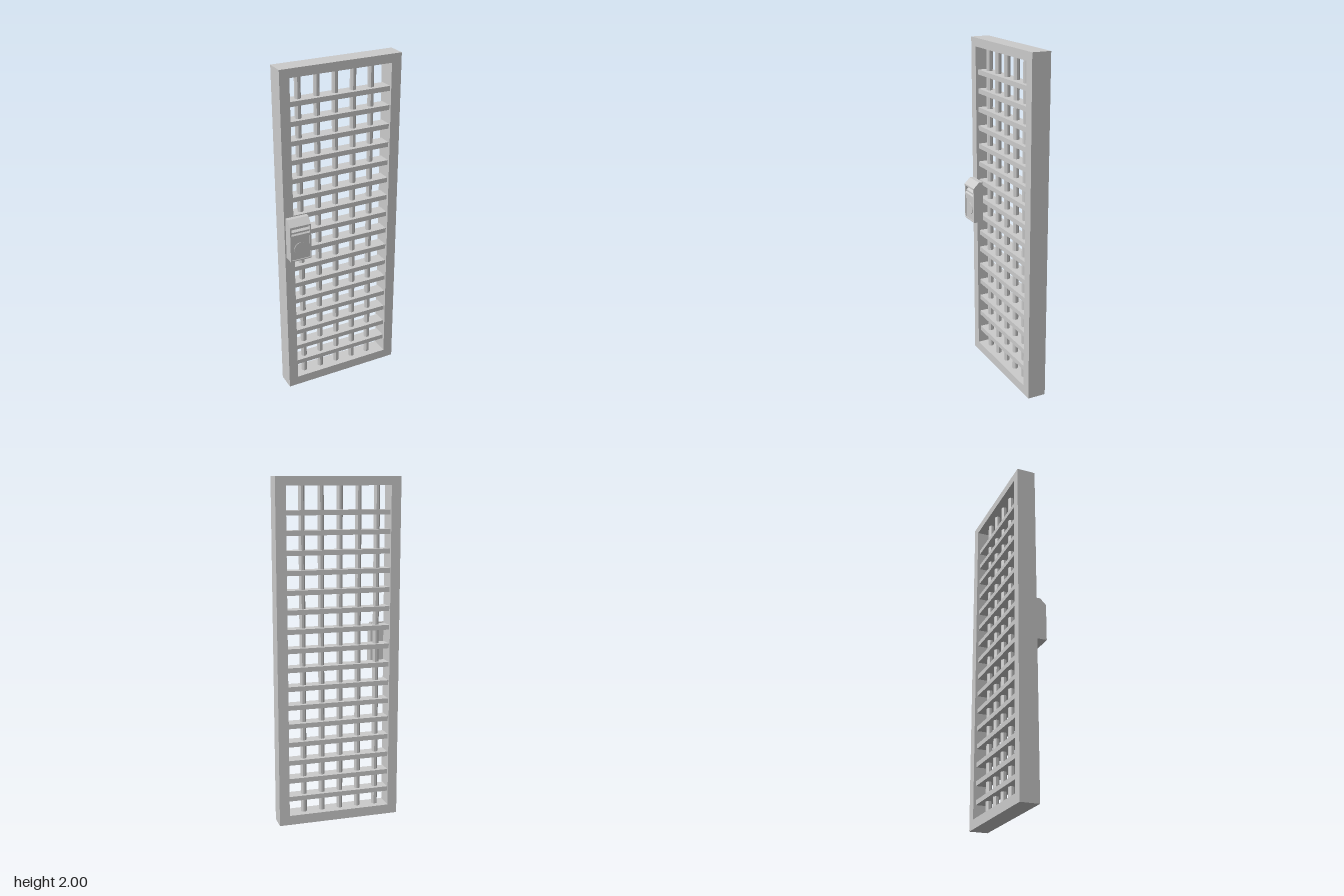
import * as THREE from 'three';

const material = new THREE.MeshStandardMaterial({ color: 0xcccccc, flatShading: true });

function add(parent, name, geometry, x = 0, y = 0, z = 0) {
  const mesh = new THREE.Mesh(geometry, material);
  mesh.name = name;
  mesh.position.set(x, y, z);
  parent.add(mesh);
  return mesh;
}

// Extrudes a (z, y) outline along x, from xMin to xMax
function sideProfile(points, xMin, xMax) {
  const shape = new THREE.Shape(points.map(([z, y]) => new THREE.Vector2(z, y)));
  const geometry = new THREE.ExtrudeGeometry(shape, { depth: xMax - xMin, bevelEnabled: false });
  return geometry.rotateY(-Math.PI / 2).translate(xMax, 0, 0);
}

function rectangle(path, x0, y0, x1, y1) {
  path.moveTo(x0, y0);
  path.lineTo(x1, y0);
  path.lineTo(x1, y1);
  path.lineTo(x0, y1);
  path.closePath();
  return path;
}

export function createModel() {
  const model = new THREE.Group();
  model.name = 'barredDoor';

  // Outer frame with one large opening
  const outline = rectangle(new THREE.Shape(), -0.362, 0, 0.362, 2);
  outline.holes.push(rectangle(new THREE.Path(), -0.305, 0.056, 0.302, 1.95));
  add(model, 'frame', new THREE.ExtrudeGeometry(outline, { depth: 0.11, bevelEnabled: false }), 0, 0, -0.085);

  // Flat cross bars
  const crossBars = new THREE.Group();
  crossBars.name = 'crossBars';
  model.add(crossBars);
  const crossBar = new THREE.BoxGeometry(0.612, 0.028, 0.08);
  for (let i = 0; i < 16; i++) add(crossBars, 'crossBar', crossBar, -0.0015, 0.153 + i * 0.11, -0.03);

  // Octagonal upright bars
  const uprightBars = new THREE.Group();
  uprightBars.name = 'uprightBars';
  model.add(uprightBars);
  const uprightBar = new THREE.CylinderGeometry(0.0175, 0.0175, 1.9, 8, 1, true).rotateY(Math.PI / 8);
  for (let i = 0; i < 5; i++) add(uprightBars, 'uprightBar', uprightBar, -0.237 + i * 0.11, 1.003, -0.03);

  // Lock box: notched core between two solid cheeks
  const lock = new THREE.Group();
  lock.name = 'lock';
  model.add(lock);
  const cheek = [[0.025, 0.91], [0.085, 0.91], [0.085, 1.125], [0.05, 1.16], [0.025, 1.16]];
  const core = [
    [0.025, 0.91], [0.085, 0.91], [0.085, 0.917], [0.08, 0.917], [0.08, 1.058], [0.085, 1.058],
    [0.085, 1.072], [0.078, 1.08], [0.078, 1.09], [0.065, 1.1], [0.065, 1.116], [0.085, 1.116],
    [0.085, 1.125], [0.05, 1.16], [0.025, 1.16],
  ];
  const left = -0.354, right = -0.226, wall = 0.008;
  add(lock, 'lockCore', sideProfile(core, left + wall, right - wall));
  add(lock, 'lockCheek', sideProfile(cheek, left, left + wall));
  add(lock, 'lockCheek', sideProfile(cheek, right - wall, right));

  // Round key cover on the lock face
  const cover = new THREE.CylinderGeometry(0.037, 0.037, 0.006, 24).rotateX(Math.PI / 2);
  add(lock, 'keyCover', cover, -0.292, 0.984, 0.081);

  return model;
}
